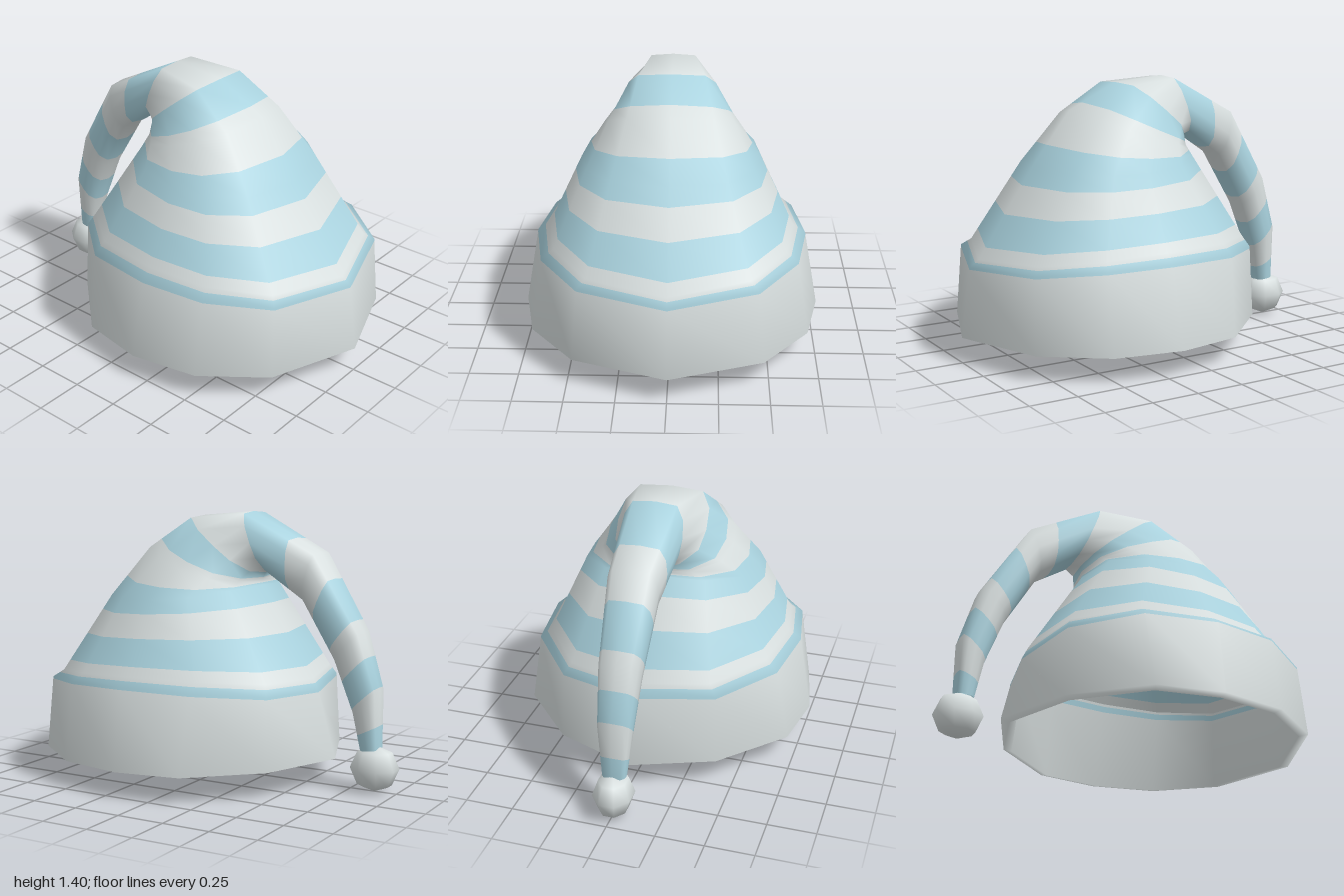
import * as THREE from 'three';

// Twelve-sided cross-sections: c runs back (-1) to front (+1), s runs sideways.
const ROUND = {
  c: [1, 0.79, 0.43, 0.01, -0.4, -0.8, -1],
  s: [0, 0.61, 0.91, 1, 0.93, 0.54, 0],
};
const BROAD = {
  c: [1, 0.81, 0.44, 0, -0.5, -0.89, -1],
  s: [0, 0.63, 0.92, 1, 0.93, 0.58, 0],
};
const SQUARE = {
  c: [1, 0.94, 0.54, 0, -0.5, -0.9, -1],
  s: [0, 0.72, 0.95, 1, 0.94, 0.6, 0],
};
const N = 12;

// A ring from its front point, back point (z, y), half width and side lift.
function ring(shape, fz, fy, bz, by, w, lift = 0) {
  const pts = [];
  for (let i = 0; i < N; i++) {
    const k = i <= 6 ? i : N - i;
    const c = shape.c[k];
    const s = i <= 6 ? shape.s[k] : -shape.s[k];
    pts.push(new THREE.Vector3(
      s * w,
      (fy + by) / 2 + c * (fy - by) / 2 + lift * s * s,
      (fz + bz) / 2 + c * (fz - bz) / 2,
    ));
  }
  return pts;
}

// Joins rings with quads; an optional group is added for every band.
function skin(rings, bands) {
  const index = [];
  const geo = new THREE.BufferGeometry();
  for (let j = 0; j < rings.length - 1; j++) {
    for (let i = 0; i < N; i++) {
      const a = j * N + i, b = j * N + (i + 1) % N;
      index.push(a, b, a + N, b, b + N, a + N);
    }
    if (bands) geo.addGroup(j * N * 6, N * 6, bands[j]);
  }
  const flat = rings.flat().flatMap((p) => p.toArray());
  geo.setAttribute('position', new THREE.Float32BufferAttribute(flat, 3));
  geo.setIndex(index);
  return geo;
}

// Smooth normals of the whole loft, ring by ring.
function ringNormals(keys) {
  const base = skin(keys);
  base.computeVertexNormals();
  return keys.map((r, j) => r.map((_, i) =>
    new THREE.Vector3().fromBufferAttribute(base.attributes.normal, j * N + i)));
}

// The part of the loft between two rings. Stripes are [from, to] in ring
// numbers; extra rings are inserted where a stripe starts or ends.
function stripedPart(keys, normals, first, last, stripes) {
  const whole = Array.from({ length: last - first + 1 }, (_, i) => first + i);
  const stops = [...new Set([...whole, ...stripes.flat()])].sort((a, b) => a - b);
  const sample = (rows, t) => {
    const j = Math.min(Math.floor(t), last - 1);
    return rows[j].map((p, i) => p.clone().lerp(rows[j + 1][i], t - j));
  };
  const bands = stops.slice(0, -1).map((t, j) => {
    const mid = (t + stops[j + 1]) / 2;
    return stripes.some(([a, b]) => mid > a && mid < b) ? 1 : 0;
  });
  const geo = skin(stops.map((t) => sample(keys, t)), bands);
  const flat = stops.flatMap((t) => sample(normals, t))
    .flatMap((n) => n.normalize().toArray());
  geo.setAttribute('normal', new THREE.Float32BufferAttribute(flat, 3));
  return geo;
}

export function createModel() {
  const white = new THREE.MeshStandardMaterial({ color: 0xd8dfdf, side: THREE.DoubleSide });
  white.name = 'soft white';
  const blue = new THREE.MeshStandardMaterial({ color: 0xaad3df, side: THREE.DoubleSide });
  blue.name = 'pale blue';

  const hat = new THREE.Group();
  hat.name = 'nightcap';
  const add = (name, geo, mat) => {
    const mesh = new THREE.Mesh(geo, mat);
    mesh.name = name;
    hat.add(mesh);
    return mesh;
  };

  // One continuous skin: down the lining, around the rim, up to the tail tip
  const capBase = ring(BROAD, 0.90, 0.52, -0.53, 0.55, 0.635, 0.055);
  const keys = [
    capBase,
    ring(ROUND, 0.95, 0.122, -0.615, 0.127, 0.73),
    ring(ROUND, 1.0, 0.13, -0.66, 0.14, 0.775),
    ring(BROAD, 0.95, 0.485, -0.56, 0.49, 0.70, 0.06),
    capBase,
    ring(BROAD, 0.60, 0.96, -0.24, 1.02, 0.46, -0.03),
    ring(BROAD, 0.38, 1.24, -0.235, 1.05, 0.345, -0.03),
    ring(SQUARE, 0.11, 1.375, -0.25, 1.085, 0.235),
    ring(SQUARE, -0.18, 1.40, -0.30, 1.09, 0.16),
    ring(SQUARE, -0.57, 1.20, -0.50, 0.95, 0.13),
    ring(SQUARE, -0.81, 0.81, -0.67, 0.66, 0.105),
    ring(SQUARE, -0.90, 0.52, -0.77, 0.40, 0.085),
    ring(SQUARE, -0.905, 0.22, -0.81, 0.21, 0.06),
  ];
  const normals = ringNormals(keys);

  const parts = [
    ['brim', 0, 4, [[0.03, 0.1], [2.97, 3.6]]],
    ['cap', 4, 7, [[4.13, 4.49], [4.81, 5.4], [6.28, 7]]],
    ['tail', 7, 12, [[8, 8.65], [9.33, 9.85], [10.42, 10.95], [11.6, 12]]],
  ];
  for (const [name, first, last, stripes] of parts) {
    add(name, stripedPart(keys, normals, first, last, stripes), [white, blue]);
  }

  // Pompom at the end of the tail
  const ball = new THREE.SphereGeometry(0.12, 8, 4).rotateY(Math.PI / 8);
  const pompom = add('pompom', ball, white);
  pompom.scale.set(0.88, 1, 1.07);
  pompom.position.set(0, 0.12, -0.88);

  return hat;
}
